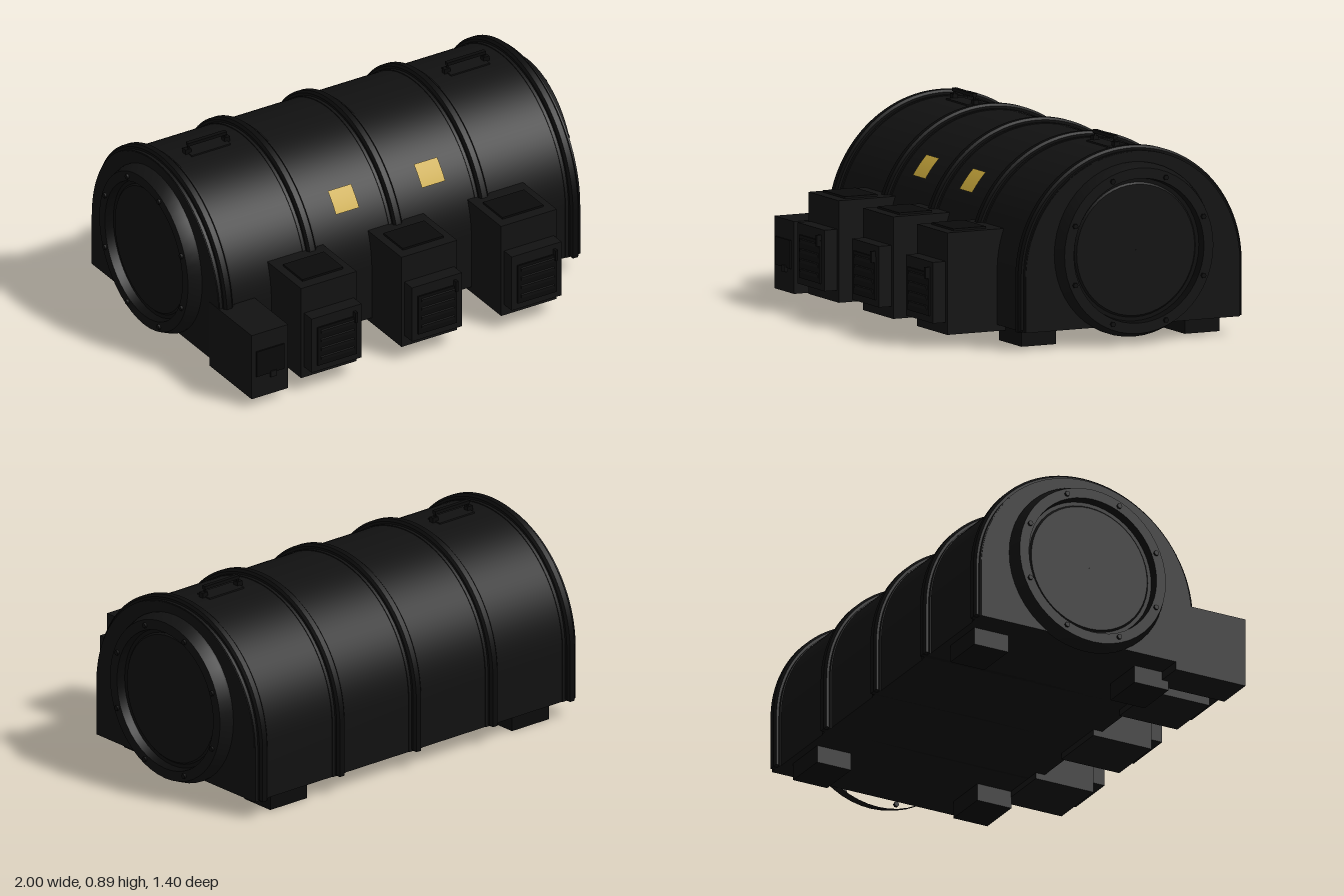
import * as THREE from 'three';
import { toCreasedNormals } from 'three/addons/utils/BufferGeometryUtils.js';

const CZ = -0.15;     // z of the hull axis
const ARC_Y = 0.32;   // height of the roof arc centre
const FLOOR = 0.08;

const mat = (name, color) => Object.assign(new THREE.MeshStandardMaterial({ color }), { name });

export function createModel() {
  const shell = mat('shell charcoal', 0x111111);
  const trim = mat('trim black', 0x0a0a0a);
  const cabinet = mat('cabinet charcoal', 0x121212);
  const yellow = mat('warning yellow', 0xc9a83c);
  yellow.side = THREE.DoubleSide;

  const model = new THREE.Group();
  model.name = 'shelterModule';

  const add = (parent, name, geometry, material, x = 0, y = 0, z = 0) => {
    const mesh = new THREE.Mesh(geometry, material);
    mesh.name = name;
    mesh.position.set(x, y, z);
    parent.add(mesh);
    return mesh;
  };
  const box = (parent, name, material, x0, x1, y0, y1, z0, z1) =>
    add(parent, name, new THREE.BoxGeometry(x1 - x0, y1 - y0, z1 - z0), material,
      (x0 + x1) / 2, (y0 + y1) / 2, (z0 + z1) / 2);

  // Arched section: half circle on straight walls, extruded along x
  const arch = (name, material, radius, width, x, bevel = 0) => {
    const r = radius - bevel;
    const shape = new THREE.Shape();
    shape.moveTo(-r, FLOOR + bevel);
    shape.lineTo(r, FLOOR + bevel);
    shape.lineTo(r, ARC_Y);
    shape.absarc(0, ARC_Y, r, 0, Math.PI, false);
    shape.closePath();
    const depth = width - 2 * bevel;
    const g = new THREE.ExtrudeGeometry(shape, {
      depth, curveSegments: 28, bevelEnabled: bevel > 0,
      bevelThickness: bevel, bevelSize: bevel, bevelSegments: 1,
    });
    g.translate(0, 0, -depth / 2);
    g.rotateY(Math.PI / 2);
    return add(model, name, toCreasedNormals(g, 0.5), material, x, 0, CZ);
  };

  arch('hull', shell, 0.525, 1.86, 0);
  for (const x of [-0.89, -0.443, 0, 0.443, 0.89]) {
    arch('ribFlange', shell, 0.529, 0.075, x);
    arch('rib', trim, 0.55, 0.046, x, 0.01);
  }

  // Round end collars with a recessed door and eight bolts
  for (const side of [1, -1]) {
    const end = new THREE.Group();
    end.name = side > 0 ? 'leftEnd' : 'rightEnd';
    end.position.set(side * 0.92, 0.415, CZ);
    end.rotation.y = side > 0 ? 0 : Math.PI;
    model.add(end);
    const lathe = (name, material, pts) => {
      const g = new THREE.LatheGeometry(pts.map(([r, h]) => new THREE.Vector2(r, h)), 48);
      g.rotateZ(-Math.PI / 2);
      return add(end, name, toCreasedNormals(g, 0.45), material);
    };
    lathe('collar', shell, [[0.386, 0], [0.386, 0.02], [0.366, 0.07], [0.32, 0.07]]);
    lathe('doorSeal', trim, [[0.32, 0.07], [0.315, 0.03], [0.298, 0.03]]);
    lathe('door', shell, [[0.298, 0.03], [0.29, 0.038], [0.001, 0.038]]);
    for (let i = 0; i < 8; i++) {
      const a = (i + 0.5) * Math.PI / 4;
      const g = new THREE.CylinderGeometry(0.012, 0.012, 0.014, 6);
      g.rotateZ(-Math.PI / 2);
      add(end, 'collarBolt', g, trim, 0.073, 0.341 * Math.sin(a), 0.341 * Math.cos(a));
    }
  }

  // Feet
  for (const s of [-1, 1])
    for (const z of [0.248, -0.555])
      box(model, 'foot', trim, s * 0.7 - 0.107, s * 0.7 + 0.107, 0, FLOOR + 0.01, z - 0.085, z + 0.085);

  // Climate cabinets along the front
  for (const x of [-0.517, 0, 0.513]) {
    const unit = new THREE.Group();
    unit.name = 'climateCabinet';
    unit.position.x = x;
    model.add(unit);
    box(unit, 'cabinetBody', cabinet, -0.143, 0.143, 0.052, 0.503, 0.33, 0.62);
    box(unit, 'cabinetLid', trim, -0.105, 0.105, 0.503, 0.512, 0.41, 0.57);
    box(unit, 'ventHousing', cabinet, -0.128, 0.128, 0.105, 0.375, 0.62, 0.683);
    box(unit, 'ventPanel', trim, -0.1, 0.1, 0.135, 0.325, 0.683, 0.69);
    for (let i = 0; i < 4; i++) {
      const slat = box(unit, 'ventSlat', cabinet, -0.085, 0.085, 0.16 + i * 0.044, 0.178 + i * 0.044, 0.687, 0.695);
      slat.rotation.x = 0.3;
    }
    box(unit, 'ventLatch', trim, 0.085, 0.098, 0.3, 0.35, 0.683, 0.704);
  }

  // Power box at the right end
  box(model, 'powerBox', cabinet, -0.932, -0.745, 0.042, 0.362, 0.3, 0.648);
  box(model, 'powerBoxDoor', trim, -0.91, -0.768, 0.15, 0.275, 0.648, 0.655);
  box(model, 'powerBoxLatch', cabinet, -0.84, -0.81, 0.13, 0.16, 0.65, 0.66);

  // Roof lifting handles
  for (const x of [-0.667, 0.667]) {
    box(model, 'handleBar', trim, x - 0.1, x + 0.1, 0.88, 0.895, CZ - 0.01, CZ + 0.01);
    box(model, 'handlePlate', shell, x - 0.1, x + 0.1, 0.838, 0.85, CZ - 0.04, CZ + 0.04);
    for (const s of [-1, 1]) {
      box(model, 'handlePad', trim, x + s * 0.1 - 0.015, x + s * 0.1 + 0.015, 0.84, 0.868, CZ - 0.012, CZ + 0.012);
      box(model, 'handlePost', trim, x + s * 0.094 - 0.004, x + s * 0.094 + 0.004, 0.86, 0.885, CZ - 0.004, CZ + 0.004);
    }
  }

  // Curved yellow plates on the front of the roof
  const tilt = Math.atan2(0.33, 0.42), span = 0.205;
  for (const x of [-0.223, 0.22]) {
    const g = new THREE.CylinderGeometry(0.536, 0.536, 0.12, 6, 1, true, -span / 2, span);
    g.rotateZ(Math.PI / 2);      // axis along x, arc facing +z
    g.rotateX(-tilt);
    add(model, 'warningPlate', g, yellow, x, ARC_Y, CZ);
  }

  return model;
}
